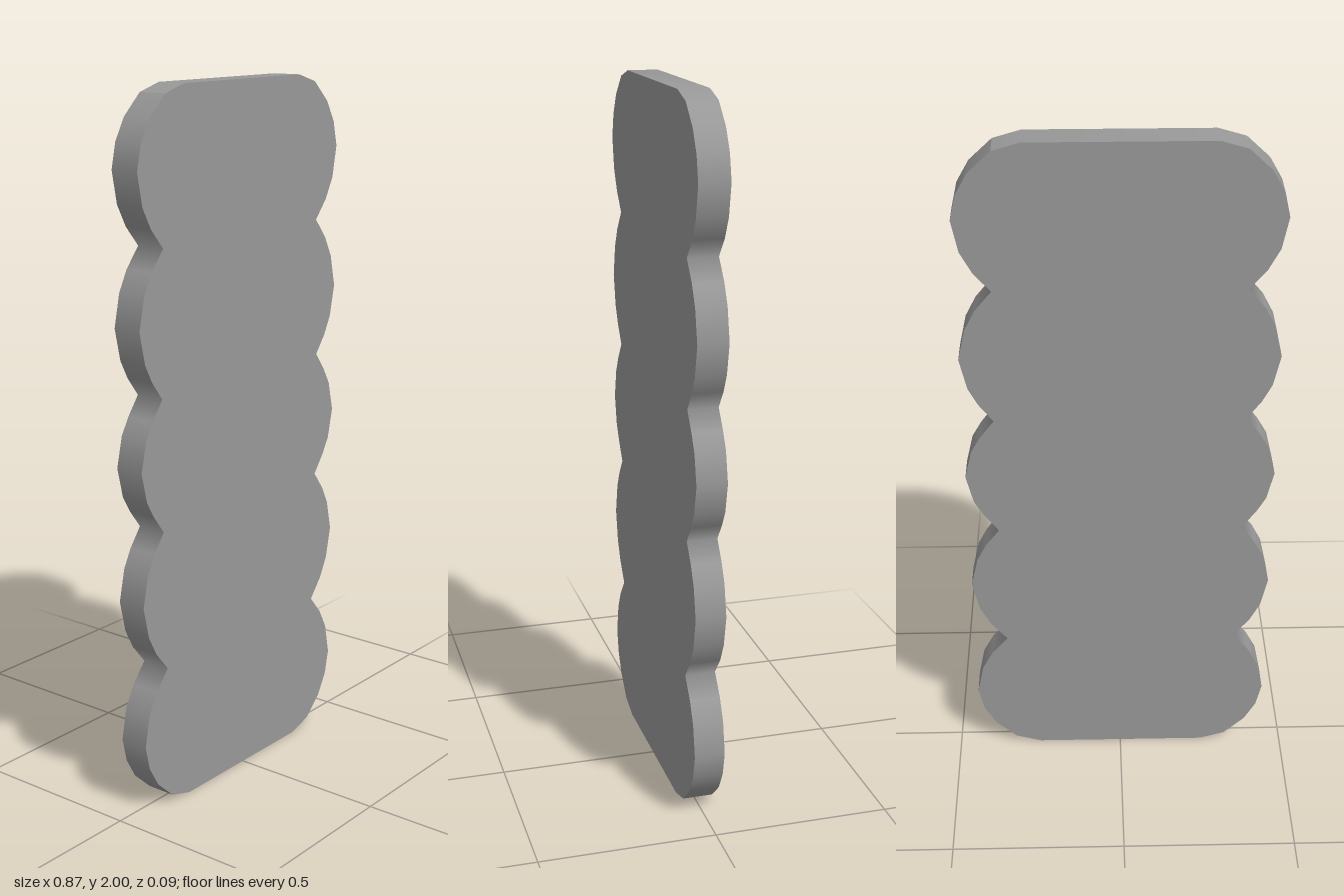
import * as THREE from 'three';

const HALF_DEPTH = 0.043;

// Lower right quarter of the scalloped outline, from the bottom edge up to mid height
const QUARTER = [
  [0.25, 0], [0.325, 0.022], [0.387, 0.08], [0.421, 0.14], [0.437, 0.21],
  [0.419, 0.3], [0.387, 0.36], [0.34, 0.415],
  [0.387, 0.472], [0.417, 0.53], [0.437, 0.62], [0.417, 0.71], [0.39, 0.762], [0.35, 0.815],
  [0.39, 0.868], [0.417, 0.915], [0.437, 1],
];

// Smoothly shaded strip joining front and back along a run of outline points
function rimStrip(points) {
  const edgeNormals = points.slice(1).map((p, i) =>
    new THREE.Vector2(p.y - points[i].y, points[i].x - p.x).normalize());
  const positions = [], normals = [], index = [];
  points.forEach((p, i) => {
    const before = edgeNormals[Math.max(i - 1, 0)];
    const after = edgeNormals[Math.min(i, edgeNormals.length - 1)];
    const n = before.clone().add(after).normalize();
    positions.push(p.x, p.y, HALF_DEPTH, p.x, p.y, -HALF_DEPTH);
    normals.push(n.x, n.y, 0, n.x, n.y, 0);
    const a = 2 * i;
    if (i < points.length - 1) index.push(a, a + 1, a + 3, a, a + 3, a + 2);
  });
  const geometry = new THREE.BufferGeometry();
  geometry.setAttribute('position', new THREE.Float32BufferAttribute(positions, 3));
  geometry.setAttribute('normal', new THREE.Float32BufferAttribute(normals, 3));
  geometry.setIndex(index);
  return geometry;
}

export function createModel() {
  const group = new THREE.Group();
  group.name = 'scallopedPanel';
  const material = new THREE.MeshStandardMaterial({ color: 0x999999 });
  const add = (name, geometry) => {
    const mesh = new THREE.Mesh(geometry, material);
    mesh.name = name;
    group.add(mesh);
  };

  // Mirror the quarter upward, then the right half across to the left
  const upper = QUARTER.slice(0, -1).reverse().map(([x, y]) => [x, 2 - y]);
  const half = [...QUARTER, ...upper];
  const mirrored = [...half].reverse().map(([x, y]) => [-x, y]);
  const outline = [...half, ...mirrored].map(([x, y]) => new THREE.Vector2(x, y));

  // Front and back faces
  const face = new THREE.ShapeGeometry(new THREE.Shape(outline));
  add('frontFace', face.clone().translate(0, 0, HALF_DEPTH));
  add('backFace', face.clone().rotateY(Math.PI).translate(0, 0, -HALF_DEPTH));

  // Rim: scalloped sides, with the top and bottom edges creased off at the corners
  const last = half.length - 1;
  const end = outline.length;
  add('leftRim', rimStrip(outline.slice(1, last)));
  add('topRim', rimStrip(outline.slice(last - 1, last + 3)));
  add('rightRim', rimStrip(outline.slice(last + 2, end - 1)));
  add('bottomRim', rimStrip([...outline.slice(end - 2), ...outline.slice(0, 2)]));
  return group;
}
